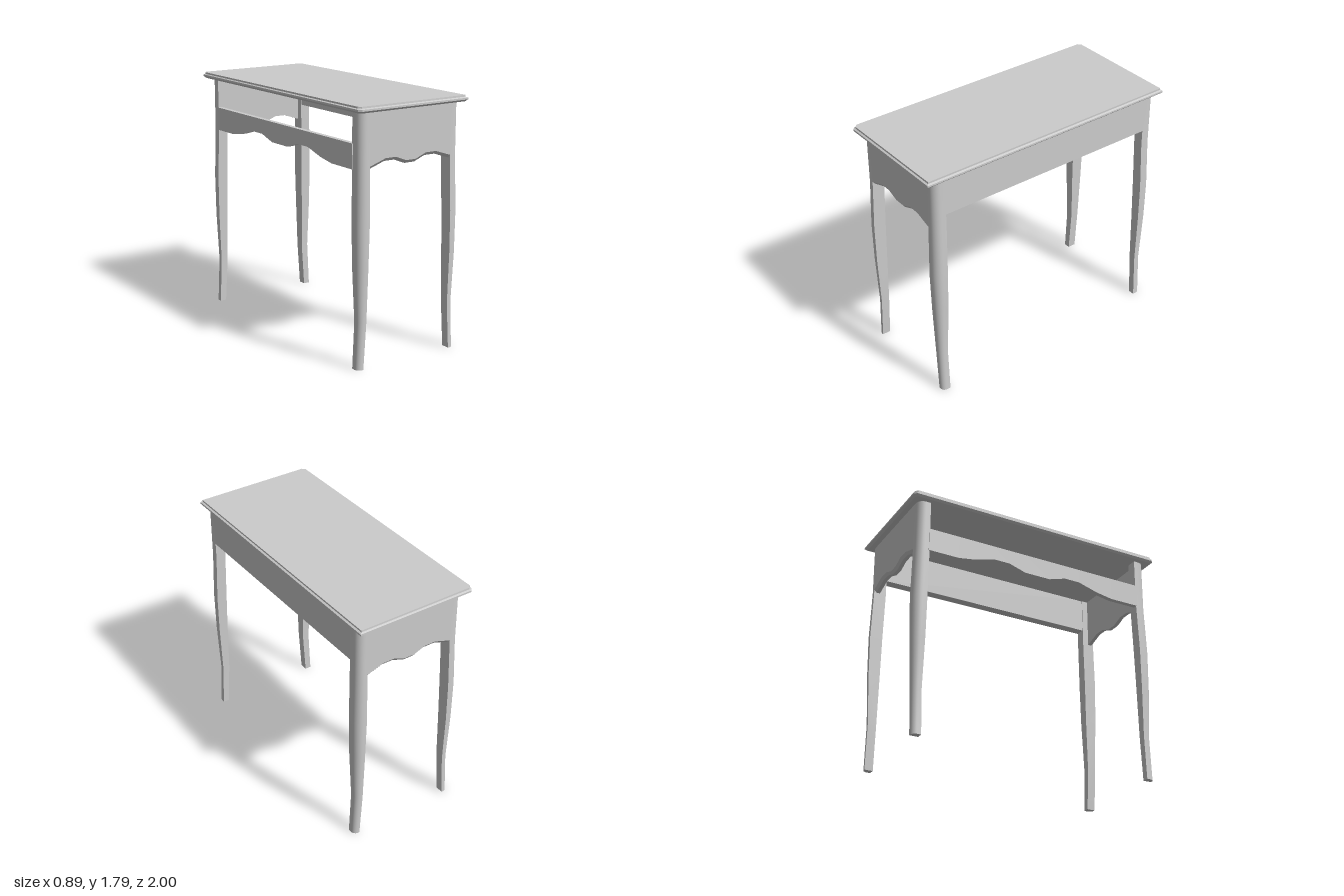
import * as THREE from 'three';
import { toCreasedNormals } from 'three/addons/utils/BufferGeometryUtils.js';

const CX = 0.01; // centre of the frame in x

// Closed solid through convex rings of [x, y, z] points, always facing outwards
function loft(rings) {
  const n = rings[0].length, idx = [], last = (rings.length - 1) * n;
  const pts = rings.flat();
  for (let r = 0; r < rings.length - 1; r++) {
    for (let i = 0; i < n; i++) {
      const a = r * n + i, b = r * n + (i + 1) % n;
      idx.push(a, a + n, b, b, a + n, b + n);
    }
  }
  for (let i = 1; i < n - 1; i++) {
    idx.push(0, i, i + 1, last, last + i + 1, last + i);
  }
  // Signed volume tells which way the faces point
  let volume = 0;
  const v = pts.map(p => new THREE.Vector3(...p));
  for (let i = 0; i < idx.length; i += 3) {
    volume += v[idx[i]].dot(v[idx[i + 1]].clone().cross(v[idx[i + 2]]));
  }
  if (volume < 0) idx.reverse();
  const g = new THREE.BufferGeometry();
  g.setAttribute('position', new THREE.Float32BufferAttribute(pts.flat(), 3));
  g.setIndex(idx);
  return toCreasedNormals(g, 0.5);
}

// Leg levels: y, outer and inner x, outer and inner z
const LEG = [
  [0, 0.415, 0.368, 0.935, 0.873],
  [0.33, 0.4, 0.347, 0.936, 0.873],
  [0.7, 0.415, 0.345, 0.951, 0.866],
  [1.0, 0.419, 0.34, 0.956, 0.862],
  [1.36, 0.41, 0.335, 0.945, 0.853],
  [1.75, 0.41, 0.335, 0.945, 0.853],
];

// Square inside, broadly rounded on the outer corner
function legGeometry(sx, sz) {
  return loft(LEG.map(([y, xo, xi, zo, zi]) => {
    const r = 0.75 * Math.min(xo - xi, zo - zi);
    const ring = [[xi, zi], [xo, zi]];
    for (let i = 0; i <= 6; i++) {
      const a = (i / 6) * Math.PI / 2;
      ring.push([xo - r + r * Math.cos(a), zo - r + r * Math.sin(a)]);
    }
    ring.push([xi, zo]);
    return ring.map(([x, z]) => [CX + sx * x, y, sz * z]);
  }));
}

// Scalloped end panel with a chamfered lower edge
function endPanelGeometry(sz) {
  const edge = [[-0.33, 1.36], [-0.2, 1.403], [-0.115, 1.403], [-0.03, 1.37],
    [0.05, 1.37], [0.135, 1.403], [0.22, 1.403], [0.35, 1.36]];
  return loft(edge.map(([x, y]) => [
    [0.945, 1.75], [0.945, y + 0.021], [0.928, y], [0.9, y], [0.9, 1.75],
  ].map(([z, h]) => [x, h, sz * z])));
}

// Low scalloped rail under the open side
function railGeometry() {
  const half = [[0.86, 1.36], [0.63, 1.36], [0.5, 1.382], [0.35, 1.425],
    [0.23, 1.425], [0.1, 1.385]];
  const edge = [...half, ...half.map(([z, y]) => [-z, y]).reverse()];
  return loft(edge.map(([z, y]) => [
    [-0.405, 1.53], [-0.405, y], [-0.37, y], [-0.37, 1.53],
  ].map(([x, h]) => [x, h, z])));
}

// Moulded top: y, left and right x, half depth; two corners clipped
function topGeometry() {
  const c = 0.02;
  return loft([
    [1.742, -0.435, 0.43, 0.983],
    [1.756, -0.45, 0.445, 1],
    [1.768, -0.45, 0.445, 1],
    [1.774, -0.443, 0.432, 0.988],
    [1.786, -0.443, 0.432, 0.987],
  ].map(([y, x0, x1, z]) => [
    [x1, y, z], [x1, y, -z], [x0 + c, y, -z], [x0, y, -z + c],
    [x0, y, z - c], [x0 + c, y, z],
  ]));
}

export function createModel() {
  const group = new THREE.Group();
  const material = new THREE.MeshStandardMaterial({ color: 0xcccccc });
  const add = (name, geometry) => {
    const mesh = new THREE.Mesh(geometry, material);
    mesh.name = name;
    group.add(mesh);
    return mesh;
  };

  add('tableTop', topGeometry());
  for (const sz of [1, -1]) {
    const end = sz > 0 ? 'front' : 'back';
    add(end + 'Panel', endPanelGeometry(sz));
    for (const sx of [1, -1]) {
      add(end + (sx > 0 ? 'Left' : 'Right') + 'Leg', legGeometry(sx, sz));
    }
  }
  add('openSideRail', railGeometry());

  // Plain long panel, flush with the legs
  add('longPanel', new THREE.BoxGeometry(0.07, 0.27, 1.71)).position.set(0.385, 1.615, 0);
  return group;
}
